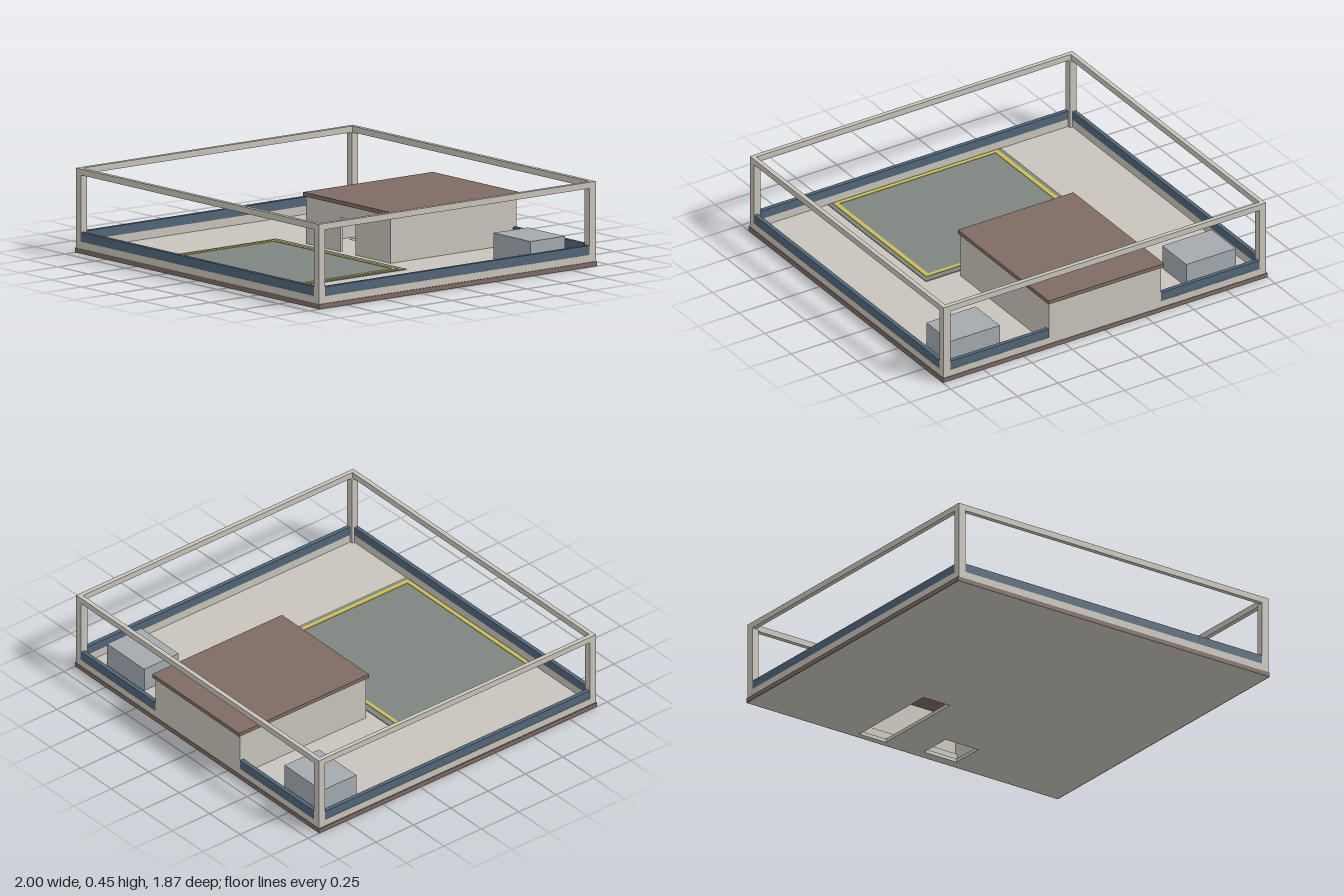
import * as THREE from 'three';

const mat = (name, color) => {
  const m = new THREE.MeshStandardMaterial({ color });
  m.name = name;
  return m;
};

export function createModel() {
  const concrete = mat('warm concrete', 0xc8c4ba);
  const brown = mat('brown roofing', 0x7f6b63);
  const blue = mat('slate blue panel', 0x516679);
  const asphalt = mat('pad grey', 0x7e8580);
  const yellow = mat('yellow paint', 0xcabb57);
  const steel = mat('unit grey', 0xa3a9ae);

  const model = new THREE.Group();
  model.name = 'rooftopHelipad';

  const add = (name, geometry, material) => {
    const mesh = new THREE.Mesh(geometry, material);
    mesh.name = name;
    model.add(mesh);
    return mesh;
  };
  // Box given by its extents on each axis
  const box = (name, material, [x0, x1], [y0, y1], [z0, z1]) =>
    add(name, new THREE.BoxGeometry(x1 - x0, y1 - y0, z1 - z0), material)
      .position.set((x0 + x1) / 2, (y0 + y1) / 2, (z0 + z1) / 2);
  const rect = (C, x0, x1, z0, z1) => new C([
    [x0, -z1], [x1, -z1], [x1, -z0], [x0, -z0],
  ].map(([x, y]) => new THREE.Vector2(x, y)));
  // Flat plate lying in the ground plane, with rectangular holes
  const plate = (name, material, outer, holes, y0, y1) => {
    const shape = rect(THREE.Shape, ...outer);
    shape.holes = holes.map((h) => rect(THREE.Path, ...h));
    const g = new THREE.ExtrudeGeometry(shape, { depth: y1 - y0, bevelEnabled: false });
    g.rotateX(-Math.PI / 2).translate(0, y0, 0);
    add(name, g, material);
  };

  const X = 0.994, ZB = -0.923, ZF = 0.93; // outer faces of the slab
  const DECK = 0.02, CURB = 0.064, WALL = 0.112, EAVE = 0.271;
  const T = 0.025, POST = 0.041;
  const outer = [-X, X, ZB, ZF];
  const inner = [-X + T, X - T, ZB + T, ZF - T];

  // Thin deck slab with two floor openings inside the hut, and its base trim
  plate('deckSlab', concrete, outer,
    [[0.1, 0.31, -0.87, -0.68], [-0.3, -0.13, -0.89, -0.33]], 0, DECK);
  plate('baseTrim', brown, [-1, 1, ZB - 0.003, ZF + 0.002], [outer], 0, 0.025);

  // Perimeter frame: curb, corner posts and top rail
  plate('curb', concrete, outer, [inner], DECK, CURB);
  plate('topRail', concrete, outer, [inner], 0.414, 0.447);
  for (const px of [[X - POST, X], [-X, -X + POST]]) {
    box('backPost', concrete, px, [DECK, 0.414], [ZB, ZB + POST]);
    box('frontPost', concrete, px, [DECK, 0.414], [ZF - POST, ZF]);
  }

  // Blue parapet panels between the posts, broken by the hut at the back
  const P = X - POST, H = 0.346;
  box('frontParapet', blue, [-P, P], [CURB, WALL], [ZF - T, ZF - 0.002]);
  for (const s of [-1, 1]) {
    const span = (a, b) => (s > 0 ? [a, b] : [-b, -a]);
    box('sideParapet', blue, span(X - T, X - 0.002), [CURB, WALL], [ZB + POST, ZF - POST]);
    box('backParapet', blue, span(H, P), [CURB, WALL], [ZB + 0.002, ZB + T]);
    box('airUnit', steel, span(0.575, 0.88), [DECK, 0.154], [-0.81, -0.58]);
    box('hutSideWall', concrete, span(H - 0.015, H), [DECK, EAVE], [ZB + 0.015, -0.095]);
  }

  // Hollow hut: back wall, front wall with a doorway, flat roof
  box('hutBackWall', concrete, [-H, H], [DECK, EAVE], [ZB, ZB + 0.015]);
  const front = new THREE.Shape([
    [-H, DECK], [-0.065, DECK], [-0.065, 0.2], [0.06, 0.2],
    [0.06, DECK], [H, DECK], [H, EAVE], [-H, EAVE],
  ].map(([x, y]) => new THREE.Vector2(x, y)));
  add('hutFrontWall', new THREE.ExtrudeGeometry(front, { depth: 0.015, bevelEnabled: false }), concrete)
    .position.z = -0.095;
  box('hutRoof', brown, [-0.357, 0.355], [EAVE, 0.292], [-0.936, -0.068]);

  // Landing pad with a painted yellow border
  box('landingPad', asphalt, [-0.535, 0.53], [DECK, DECK + 0.004], [-0.035, 0.902]);
  plate('padBorder', yellow, [-0.51, 0.505, 0, 0.895],
    [[-0.485, 0.48, 0.022, 0.873]], DECK + 0.004, DECK + 0.007);

  return model;
}
